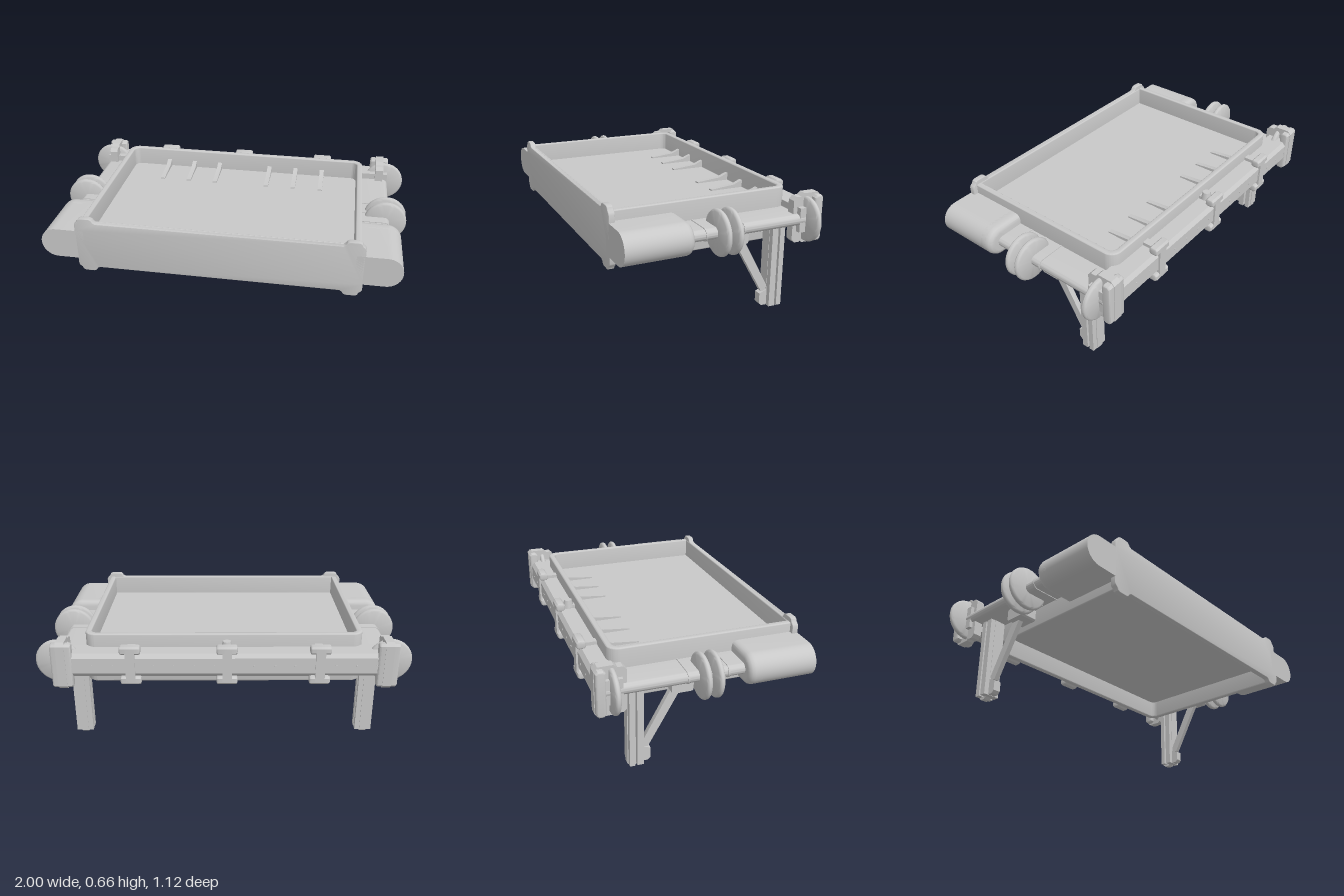
import * as THREE from 'three';
import { toCreasedNormals } from 'three/addons/utils/BufferGeometryUtils.js';

export function createModel() {
  const model = new THREE.Group();
  const grey = new THREE.MeshStandardMaterial({ color: 0xc8c8c8 });
  grey.name = 'plain grey';

  const add = (name, geo, parent = model) => {
    const mesh = new THREE.Mesh(geo, grey);
    mesh.name = name;
    parent.add(mesh);
    return mesh;
  };
  // Box given by its limits on each axis
  const box = (name, x0, x1, y0, y1, z0, z1, parent) => {
    const geo = new THREE.BoxGeometry(x1 - x0, y1 - y0, z1 - z0);
    return add(name, geo.translate((x0 + x1) / 2, (y0 + y1) / 2, (z0 + z1) / 2), parent);
  };
  const extrude = (shape, depth, bevel = 0) => {
    const geo = new THREE.ExtrudeGeometry(shape, {
      depth: depth - 2 * bevel, bevelEnabled: bevel > 0, bevelSize: bevel, bevelThickness: bevel,
      bevelOffset: -bevel, bevelSegments: 3, curveSegments: 12,
    });
    return toCreasedNormals(geo.translate(0, 0, bevel), 0.6);
  };
  const poly = (pts) => new THREE.Shape(pts.map(([a, b]) => new THREE.Vector2(a, b)));
  // Profile of [z, y] points extended from x0 to x1
  const sideProfile = (name, pts, x0, x1, parent, bevel = 0) => {
    const geo = extrude(poly(pts.map(([z, y]) => [-z, y])), x1 - x0, bevel);
    return add(name, geo.rotateY(Math.PI / 2).translate(x0, 0, 0), parent);
  };
  // Rectangle in [z, y] with cut corners
  const chamfered = (z0, z1, y0, y1, c) => [
    [z0 + c, y0], [z1 - c, y0], [z1, y0 + c], [z1, y1 - c],
    [z1 - c, y1], [z0 + c, y1], [z0, y1 - c], [z0, y0 + c]];
  // Plan outline with rounded rear corners, shape y = -z
  const plan = (ShapeType, w, back, front, r) => {
    const s = new ShapeType();
    s.moveTo(-w, -front);
    s.lineTo(w, -front);
    s.lineTo(w, back - r);
    s.absarc(w - r, back - r, r, 0, Math.PI / 2);
    s.lineTo(-w + r, back);
    s.absarc(-w + r, back - r, r, Math.PI / 2, Math.PI);
    s.closePath();
    return s;
  };

  // Tray: thin walls, a floor panel at mid height and floor ribs
  const walls = plan(THREE.Shape, 0.74, 0.445, 0.54, 0.06);
  walls.holes.push(plan(THREE.Path, 0.708, 0.413, 0.525, 0.035));
  add('trayWalls', extrude(walls, 0.275, 0.007).rotateX(-Math.PI / 2).translate(0, 0.365, 0));
  add('trayFloor', extrude(plan(THREE.Shape, 0.72, 0.425, 0.53, 0.04), 0.055)
    .rotateX(-Math.PI / 2).translate(0, 0.475, 0));
  for (const x of [-0.485, -0.32, -0.155, 0.165, 0.33, 0.495]) {
    sideProfile('floorRib', [[-0.42, 0.52], [-0.215, 0.52], [-0.215, 0.537], [-0.36, 0.55], [-0.42, 0.575]],
      x - 0.013, x + 0.013);
  }

  // Front panel with a lug at every corner, drawn from one quarter of its outline
  const quarter = [[0.765, 0.087], [0.765, 0.122], [0.76, 0.133], [0.748, 0.142], [0.742, 0.156], [0.73, 0.162],
    [0.68, 0.162], [0.668, 0.156], [0.66, 0.143], [0.648, 0.136]];
  const mirrored = (pts, sx, sy) => pts.map(([x, y]) => [x * sx, y * sy]);
  const back = [...quarter].reverse();
  const outline = [...quarter, ...mirrored(back, -1, 1), ...mirrored(quarter, -1, -1), ...mirrored(back, 1, -1)];
  add('frontPanel', extrude(poly(outline), 0.032, 0.003).translate(0, 0.5025, 0.528));

  // Rounded wheel with its axis along z
  const wheel = (name, x, z, r, half, parent) => {
    const pts = [[0, -half], [r - 0.012, -half], [r - 0.004, -half * 0.7], [r, -half * 0.25],
      [r, half * 0.25], [r - 0.004, half * 0.7], [r - 0.012, half], [0, half]];
    const geo = new THREE.LatheGeometry(pts.map(([a, b]) => new THREE.Vector2(a, b)), 40);
    return add(name, toCreasedNormals(geo, 0.7).rotateX(Math.PI / 2).translate(x, 0.502, z), parent);
  };
  // Flat bar section, rounded on the outer edge
  const roundedBar = (inner, outer, r) => {
    const s = new THREE.Shape();
    s.moveTo(inner, 0.502 - r);
    s.lineTo(outer - r, 0.502 - r);
    s.absarc(outer - r, 0.502, r, -Math.PI / 2, Math.PI / 2);
    s.lineTo(inner, 0.502 + r);
    s.closePath();
    return s;
  };

  // Side assemblies, built for +x and mirrored to -x
  for (const side of [1, -1]) {
    const g = new THREE.Group();
    g.name = side > 0 ? 'leftSide' : 'rightSide';
    g.scale.x = side;
    model.add(g);

    // Side pod, flush at the front and rounded at the back
    add('pod', extrude(roundedBar(0.72, 0.962, 0.085), 0.325).translate(0, 0, 0.235), g);
    add('podShoulder', extrude(roundedBar(0.712, 0.962, 0.085), 0.1, 0.03).translate(0, 0, 0.2), g);

    // Flat arm running back to the crossbar, with thin collars
    add('arm', extrude(roundedBar(0.72, 0.903, 0.03), 0.74).translate(0, 0, -0.51), g);
    for (const z of [0.115, 0.01, -0.095]) {
      add('collar', extrude(roundedBar(0.72, 0.907, 0.034), 0.008).translate(0, 0, z - 0.004), g);
    }
    for (const z of [0.04, -0.024]) wheel('wheel', 0.88, z, 0.119, 0.015, g);
    wheel('rearWheel', 0.88, -0.47, 0.119, 0.015, g);

    // Leg: column with front and back flanges
    sideProfile('legCore', [[-0.30, 0.47], [-0.30, 0.02], [-0.325, 0.02], [-0.338, 0.005],
      [-0.365, 0.005], [-0.38, 0.018], [-0.38, 0.47]], 0.775, 0.812, g);
    box('legFlange', 0.748, 0.84, 0.018, 0.47, -0.336, -0.302, g);
    box('legFlange', 0.748, 0.84, 0.018, 0.47, -0.376, -0.348, g);

    // Diagonal brace, its upper block and its foot
    sideProfile('brace', [[-0.095, 0.41], [-0.15, 0.41], [-0.305, 0.125], [-0.305, 0.1], [-0.27, 0.1]],
      0.78, 0.808, g);
    sideProfile('braceBlock', chamfered(-0.158, -0.044, 0.4, 0.468, 0.008), 0.742, 0.84, g);
    sideProfile('braceFoot', [[-0.31, 0.02], [-0.31, 0.115], [-0.295, 0.105], [-0.258, 0.09],
      [-0.258, 0.035], [-0.272, 0.02]], 0.773, 0.814, g);
  }

  // Rear crossbar with a flat back face and small rivets
  sideProfile('crossbar', [[-0.42, 0.437], [-0.42, 0.567], [-0.53, 0.567], [-0.548, 0.545],
    [-0.548, 0.46], [-0.53, 0.437]], -0.9, 0.9);
  for (let i = 0; i < 16; i++) {
    const rivet = new THREE.CylinderGeometry(0.006, 0.006, 0.008, 8).rotateX(Math.PI / 2);
    add('rivet', rivet.translate(-0.8 + i * 1.6 / 15, 0.502, -0.547));
  }

  // Straps clamped around the crossbar, taller at the ends
  for (const x of [-0.857, -0.502, -0.015, 0.49, 0.848]) {
    const end = Math.abs(x) > 0.7;
    const g = new THREE.Group();
    g.name = end ? 'endStrap' : 'strap';
    g.position.x = x;
    model.add(g);
    if (end) {
      sideProfile('strapBody', chamfered(-0.558, -0.44, 0.37, 0.635, 0.02), -0.023, 0.023, g);
      sideProfile('strapFront', chamfered(-0.46, -0.397, 0.375, 0.62, 0.018), -0.023, 0.023, g);
      sideProfile('strapWing', chamfered(-0.555, -0.505, 0.38, 0.625, 0.012), -0.055, 0.055, g, 0.01);
    } else {
      sideProfile('strapPlate', chamfered(-0.558, -0.515, 0.4, 0.61, 0.014), -0.025, 0.025, g);
      box('strapArm', -0.02, 0.02, 0.56, 0.585, -0.53, -0.42, g);
      box('strapArm', -0.02, 0.02, 0.42, 0.445, -0.53, -0.42, g);
      for (const y of [0.59, 0.42]) {
        sideProfile('strapClip', chamfered(-0.558, -0.508, y - 0.022, y + 0.022, 0.01), -0.055, 0.055, g, 0.01);
      }
    }
  }

  // Knob on the middle strap
  add('knob', new THREE.CylinderGeometry(0.022, 0.03, 0.04, 8).translate(-0.015, 0.595, -0.48));
  return model;
}
